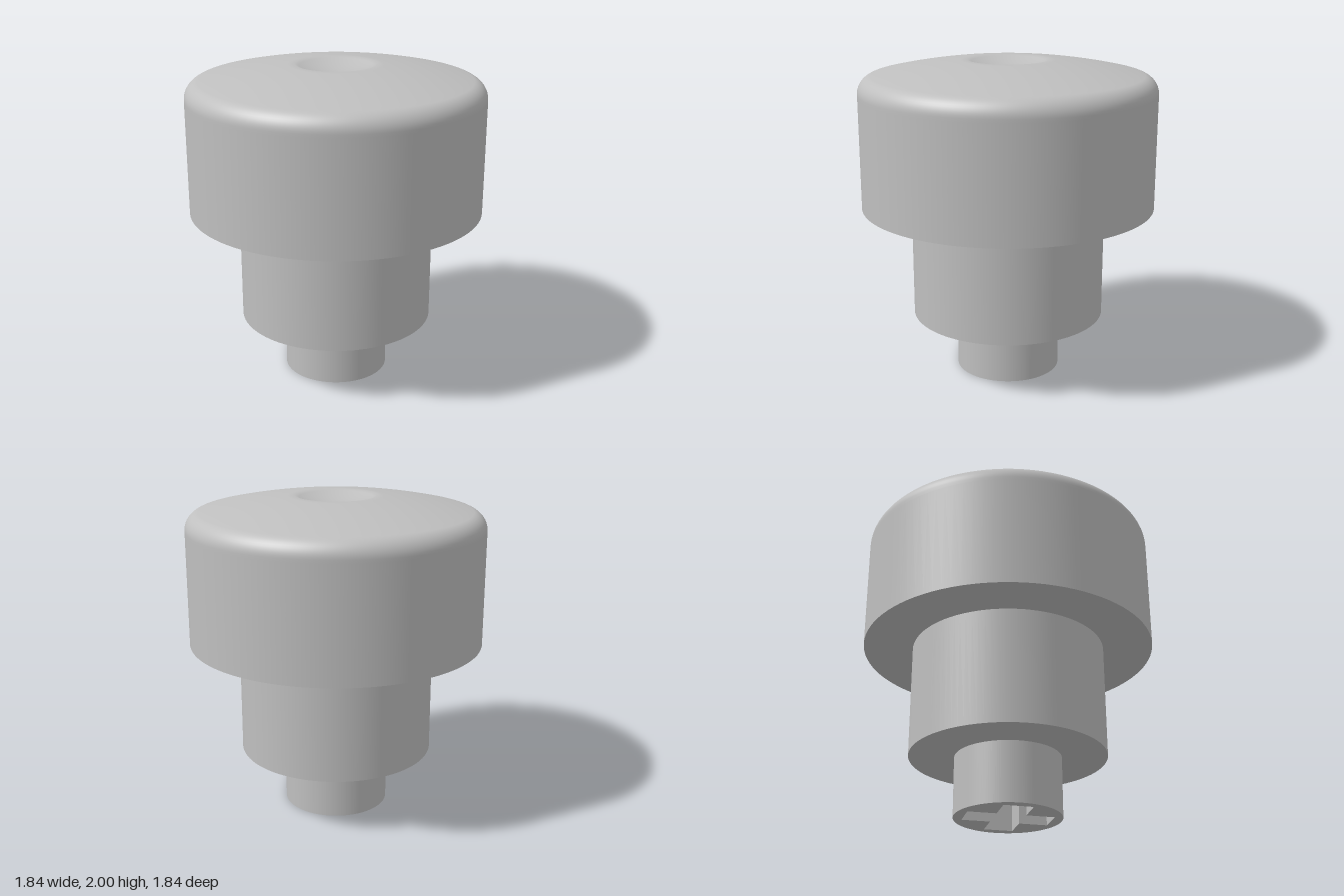
import * as THREE from 'three';

const SEGMENTS = 96;
const CAP_R = 0.92, BODY_R = 0.61, STEM_R = 0.33;
const STEM_TOP = 0.375, BODY_TOP = 1.09;
const DISH_R = 0.25, DISH_DEPTH = 0.045;

export function createModel() {
  const model = new THREE.Group();
  const grey = new THREE.MeshStandardMaterial({ color: 0xbfbfbf });
  grey.name = 'plain grey';

  const add = (name, geometry) => {
    const mesh = new THREE.Mesh(geometry, grey);
    mesh.name = name;
    model.add(mesh);
  };
  // Surface of revolution from [radius, height] pairs
  const lathe = (name, points) => add(name,
    new THREE.LatheGeometry(points.map(([r, y]) => new THREE.Vector2(r, y)), SEGMENTS));

  // Cap: straight skirt, rounded shoulder, shallow dome and thumb dish
  const fillet = 0.11, filletY = 1.805, endAngle = 1.33;
  const profile = [[CAP_R, BODY_TOP], [CAP_R, filletY - 0.02]];
  for (let i = 0; i <= 10; i++) {
    const a = endAngle * i / 10;
    profile.push([CAP_R - fillet + fillet * Math.cos(a), filletY + fillet * Math.sin(a)]);
  }
  const [shoulderR, shoulderY] = profile[profile.length - 1];
  const drop = (2 - shoulderY) / (shoulderR ** 2 - DISH_R ** 2);
  for (let i = 1; i <= 14; i++) {
    const r = THREE.MathUtils.lerp(shoulderR, DISH_R, i / 14);
    profile.push([r, 2 - drop * (r * r - DISH_R ** 2)]);
  }
  for (let i = 1; i <= 10; i++) {
    const t = 1 - i / 10;
    profile.push([DISH_R * t, 2 - DISH_DEPTH * (1 - t * t)]);
  }
  lathe('cap', profile);
  lathe('capUnderside', [[BODY_R, BODY_TOP], [CAP_R, BODY_TOP]]);

  // Middle body
  lathe('body', [[BODY_R, STEM_TOP], [BODY_R, BODY_TOP]]);
  lathe('bodyUnderside', [[0, STEM_TOP], [BODY_R, STEM_TOP]]);

  // Stem with a cross-shaped socket
  const L = 0.265, W = 0.09;
  const corner = [[L, -W], [L, W], [W, W]];
  const cross = [];
  for (let k = 0; k < 4; k++) {
    for (const [x, y] of corner) {
      cross.push(new THREE.Vector2(x, y).rotateAround(new THREE.Vector2(), k * Math.PI / 2));
    }
  }
  const section = new THREE.Shape().absarc(0, 0, STEM_R, 0, Math.PI * 2);
  section.holes.push(new THREE.Path(cross));
  const stem = new THREE.ExtrudeGeometry(section,
    { depth: STEM_TOP, bevelEnabled: false, curveSegments: SEGMENTS });
  stem.rotateX(-Math.PI / 2);
  add('stem', stem);

  return model;
}
